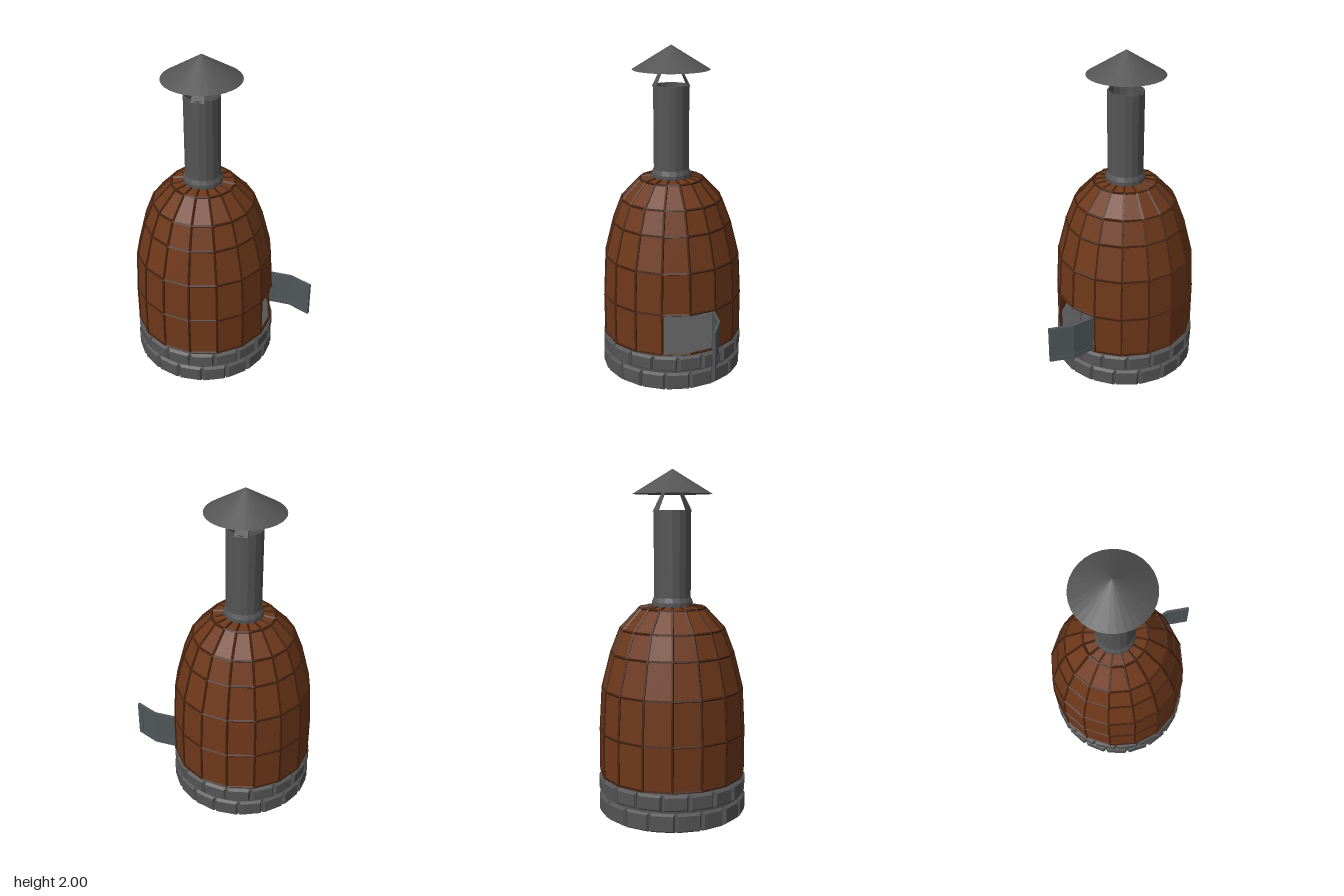
import * as THREE from 'three';
import { mergeGeometries } from 'three/addons/utils/BufferGeometryUtils.js';
import { ConvexGeometry } from 'three/addons/geometries/ConvexGeometry.js';

const mat = (color, flatShading = true) =>
  new THREE.MeshStandardMaterial({ color, flatShading, side: THREE.DoubleSide });
const clay = mat(0x6e381a), seam = mat(0x46220f), stone = mat(0x555555);
const iron = mat(0x555555), slate = mat(0x50575a);

const SIDES = 16, STEP = (Math.PI * 2) / SIDES;
const polar = (r, y, a) => new THREE.Vector3(r * Math.sin(a), y, r * Math.cos(a));

function add(parent, name, geometry, material) {
  const mesh = new THREE.Mesh(geometry, material);
  mesh.name = name;
  parent.add(mesh);
  return mesh;
}

// Square bar between two points
function bar(p, q, r = 0.008) {
  const d = q.clone().sub(p);
  const g = new THREE.CylinderGeometry(r, r, d.length() + r, 4);
  g.applyQuaternion(new THREE.Quaternion().setFromUnitVectors(new THREE.Vector3(0, 1, 0), d.normalize()));
  return g.translate((p.x + q.x) / 2, (p.y + q.y) / 2, (p.z + q.z) / 2);
}

// Wedge-shaped stone with chamfered outer and inner faces
function stoneBlock(a0, a1, y0, y1) {
  const points = [];
  for (const [r, inset] of [[0.436, 0.012], [0.422, 0], [0.29, 0], [0.28, 0.01]])
    for (const y of [y0 + inset, y1 - inset])
      for (const a of [a0 + inset / r, a1 - inset / r]) points.push(polar(r, y, a));
  return new ConvexGeometry(points);
}

// Upright slab following a bent path of [x, z] points
function slab(path, y0, y1, thick) {
  const side = (s) => path.map(([x, z], i) => {
    const a = path[Math.max(i - 1, 0)], b = path[Math.min(i + 1, path.length - 1)];
    const l = Math.hypot(b[0] - a[0], b[1] - a[1]);
    return new THREE.Vector2(x - (s * (b[1] - a[1])) / l, -(z + (s * (b[0] - a[0])) / l));
  });
  const shape = new THREE.Shape([...side(thick / 2), ...side(-thick / 2).reverse()]);
  return new THREE.ExtrudeGeometry(shape, { depth: y1 - y0, bevelEnabled: false })
    .rotateX(-Math.PI / 2).translate(0, y0, 0);
}

function createBase() {
  const base = new THREE.Group();
  base.name = 'stoneBase';
  // Two staggered courses of stones
  const count = 18, step = (Math.PI * 2) / count, gap = 0.01;
  [[0.004, 0.114, -0.5], [0.126, 0.22, 0]].forEach(([y0, y1, shift], row) => {
    const blocks = [];
    for (let i = 0; i < count; i++) {
      const a = (i + shift) * step;
      blocks.push(stoneBlock(a + gap, a + step - gap, y0, y1));
    }
    add(base, row ? 'upperStones' : 'lowerStones', mergeGeometries(blocks), stone);
  });
  // Mortar between the stones
  const ring = [[0.295, 0.008], [0.418, 0.008], [0.418, 0.218], [0.295, 0.218], [0.295, 0.008]];
  add(base, 'mortar', new THREE.LatheGeometry(ring.map((p) => new THREE.Vector2(...p)), 36), stone);
  add(base, 'floor', new THREE.CylinderGeometry(0.297, 0.297, 0.015, 36).translate(0, 0.2, 0), stone);
  return base;
}

function createDome() {
  const dome = new THREE.Group();
  dome.name = 'dome';
  const profile = [[0.424, 0.235], [0.424, 0.49], [0.41, 0.742], [0.357, 0.95],
    [0.303, 1.09], [0.19, 1.21], [0.11, 1.222]];
  const walls = [], bars = [];
  profile.forEach(([r, y], row) => {
    const next = profile[row + 1];
    if (next) {
      // The lowest row leaves two panels open for the doorway
      const start = row === 0 ? 5 * STEP : 0, sides = row === 0 ? SIDES - 2 : SIDES;
      walls.push(new THREE.CylinderGeometry(next[0], r, next[1] - y, sides, 1, true, start, sides * STEP)
        .translate(0, (y + next[1]) / 2, 0));
    }
    for (let i = 0; i < SIDES; i++) {
      const a = i * STEP;
      bars.push(bar(polar(r, y, a), polar(r, y, a + STEP)));
      if (next && !(row === 0 && i === 4)) bars.push(bar(polar(r, y, a), polar(next[0], next[1], a)));
    }
  });
  add(dome, 'domePanels', mergeGeometries(walls), clay);
  add(dome, 'domeSeams', mergeGeometries(bars), seam);
  return dome;
}

function createDoor() {
  const door = new THREE.Group();
  door.name = 'door';
  // Bent panel swung open on its hinge edge
  const path = [[0.4, -0.15], [0.535, -0.138], [0.667, -0.068]];
  const [a, b, c] = path;
  const mix = (p, q, t) => [p[0] + (q[0] - p[0]) * t, p[1] + (q[1] - p[1]) * t];
  add(door, 'doorPanel', slab(path, 0.25, 0.48, 0.008), slate);
  const frame = [
    slab(path, 0.248, 0.276, 0.016), slab(path, 0.454, 0.482, 0.016),
    slab([a, mix(a, b, 0.2)], 0.25, 0.48, 0.016), slab([mix(b, c, 0.75), c], 0.25, 0.48, 0.016),
  ];
  add(door, 'doorFrame', mergeGeometries(frame), slate);
  return door;
}

function createChimney() {
  const chimney = new THREE.Group();
  chimney.name = 'chimney';
  // Flared collar and hollow pipe
  const outline = [[0.119, 1.215], [0.119, 1.245], [0.107, 1.272], [0.107, 1.77], [0.1, 1.77], [0.1, 1.22]];
  add(chimney, 'pipe', new THREE.LatheGeometry(outline.map((p) => new THREE.Vector2(...p)), 16), iron);
  // Two tapering straps holding the rain cap
  for (const s of [1, -1]) {
    const points = [];
    for (const t of [0, 0.005])
      points.push(new THREE.Vector3(-0.04, 1.76, s * (0.107 - t)), new THREE.Vector3(0.04, 1.76, s * (0.107 - t)),
        new THREE.Vector3(-0.006, 1.965, s * (0.012 - t)), new THREE.Vector3(0.006, 1.965, s * (0.012 - t)));
    add(chimney, s > 0 ? 'frontStrap' : 'backStrap', new ConvexGeometry(points), iron);
  }
  add(chimney, 'rainCap', new THREE.ConeGeometry(0.229, 0.14, 32, 1, true).translate(0, 1.93, 0), iron);
  return chimney;
}

export function createModel() {
  const model = new THREE.Group();
  model.name = 'brickOven';
  const oven = new THREE.Group();
  oven.name = 'oven';
  oven.add(createBase(), createDome(), createDoor(), createChimney());
  oven.position.x = -0.115;
  model.add(oven);
  return model;
}
